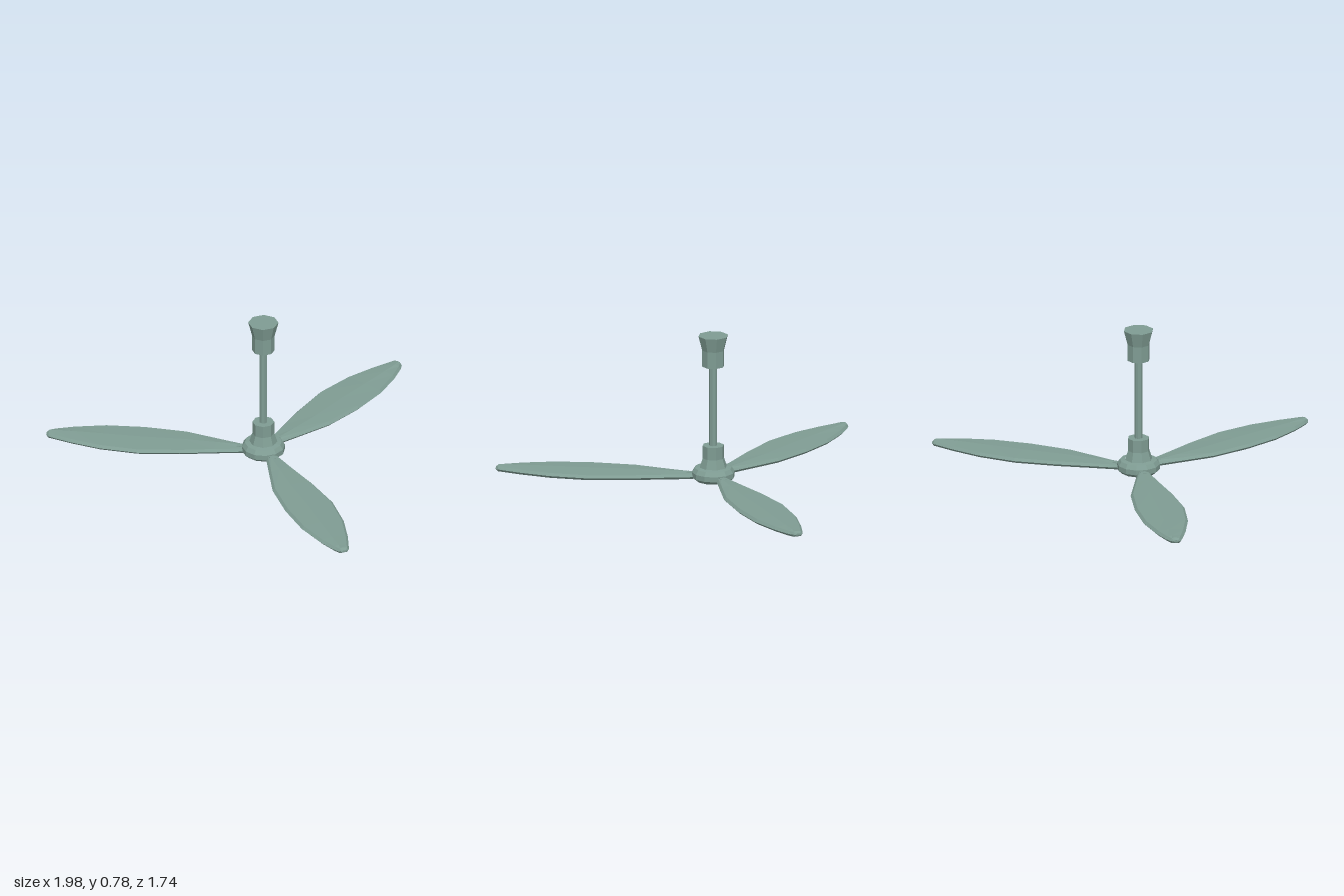
import * as THREE from 'three';

export function createModel() {
  const fan = new THREE.Group();
  fan.name = 'ceilingFan';
  const paint = new THREE.MeshStandardMaterial({ color: 0x7f9c93 });
  paint.name = 'sageGreen';

  const add = (parent, name, geometry) => {
    const flat = geometry.index ? geometry.toNonIndexed() : geometry;
    flat.computeVertexNormals();
    const mesh = new THREE.Mesh(flat, paint);
    mesh.name = name;
    parent.add(mesh);
    return mesh;
  };
  const turned = (profile, sides) =>
    new THREE.LatheGeometry(profile.map(([r, y]) => new THREE.Vector2(r, y)), sides, Math.PI / sides);

  // Everything hangs on one axis, set back so that the blades are centred
  const body = new THREE.Group();
  body.name = 'body';
  body.position.set(0.017, 0, -0.257);
  fan.add(body);

  // Motor housing with its flared neck
  add(body, 'motorHousing', turned([
    [0, 0], [0.092, 0], [0.112, 0.018], [0.112, 0.045], [0.097, 0.067], [0.07, 0.071],
  ], 12));
  add(body, 'neck', turned([
    [0.074, 0.066], [0.057, 0.12], [0.057, 0.187], [0, 0.187],
  ], 8));

  // Down rod and ceiling canopy
  add(body, 'downRod', new THREE.CylinderGeometry(0.021, 0.021, 0.45, 8)).position.y = 0.405;
  add(body, 'canopy', turned([
    [0, 0.617], [0.059, 0.617], [0.059, 0.705], [0.079, 0.782], [0, 0.782],
  ], 8));

  // Blade stations: distance from the axis, left edge, right edge, rim bevel
  const stations = [
    [0.100, -0.022, 0.042, 0.010],
    [0.25, -0.062, 0.074, 0.012],
    [0.42, -0.106, 0.112, 0.013],
    [0.64, -0.117, 0.144, 0.013],
    [0.84, -0.102, 0.131, 0.013],
    [1.00, -0.061, 0.094, 0.013],
    [1.09, -0.026, 0.065, 0.012],
    [1.123, -0.007, 0.053, 0.010],
    [1.136, 0.010, 0.040, 0.006],
  ];

  // Flat underside, bevelled rim and a shallow ridge along the top
  function bladeGeometry() {
    const rings = stations.map(([z, l, r, bevel], i) => {
      const k = i === stations.length - 1 ? 0.4 : 1;
      const y = (h) => 0.021 + h * k;
      return [
        [l + bevel, y(-0.013), z], [l, y(0), z], [l + bevel, y(0.013), z],
        [(l + r) / 2 - 0.01 * k, y(0.018), z],
        [r - bevel, y(0.013), z], [r, y(0), z], [r - bevel, y(-0.013), z],
      ];
    });
    const n = rings[0].length;
    const index = [];
    for (let s = 0; s < rings.length - 1; s++) {
      for (let j = 0; j < n; j++) {
        const a = s * n + j, b = s * n + (j + 1) % n;
        index.push(a, a + n, b, b, a + n, b + n);
      }
    }
    // End caps
    const last = (rings.length - 1) * n;
    for (let j = 1; j < n - 1; j++) {
      index.push(0, j, j + 1, last, last + j + 1, last + j);
    }
    const g = new THREE.BufferGeometry();
    g.setAttribute('position', new THREE.Float32BufferAttribute(rings.flat(2), 3));
    g.setIndex(index);
    return g;
  }

  // Three blades, each with a small root clamp
  for (let i = 0; i < 3; i++) {
    const arm = new THREE.Group();
    arm.name = 'bladeArm' + (i + 1);
    arm.rotation.y = (i * Math.PI * 2) / 3;
    add(arm, 'blade', bladeGeometry());
    add(arm, 'rootClamp', new THREE.BoxGeometry(0.03, 0.022, 0.05)).position.set(0.005, 0.028, 0.112);
    body.add(arm);
  }
  return fan;
}
